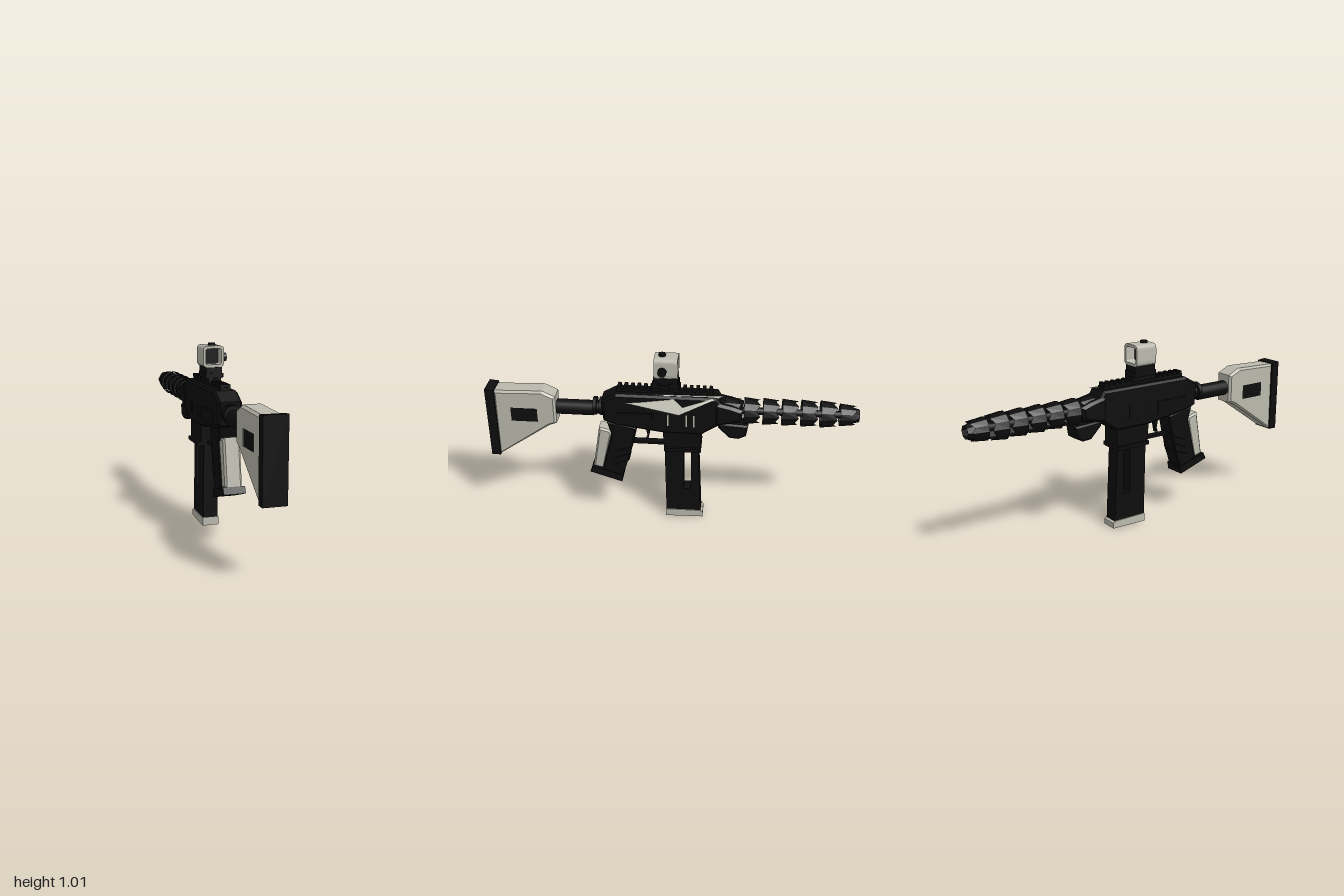
import * as THREE from 'three';

const black = new THREE.MeshStandardMaterial({ color: 0x0d0d0d, side: THREE.DoubleSide });
black.name = 'black';
const grey = new THREE.MeshStandardMaterial({ color: 0xbab9ad, side: THREE.DoubleSide });
grey.name = 'warm grey';

// Mesh with a name, added to a parent
function add(parent, name, geometry, material, x = 0, y = 0, z = 0) {
  const mesh = new THREE.Mesh(geometry, material);
  mesh.name = name;
  mesh.position.set(x, y, z);
  parent.add(mesh);
  return mesh;
}

// Side outline of [z, y] points, extruded across x; optional holes and chamfer
function side(points, half, holes = [], bevel = 0) {
  const toV = ([z, y]) => new THREE.Vector2(-z, y);
  const shape = new THREE.Shape(points.map(toV));
  for (const h of holes) shape.holes.push(new THREE.Path(h.map(toV)));
  const g = new THREE.ExtrudeGeometry(shape, {
    depth: 2 * (half - bevel), bevelEnabled: bevel > 0, bevelSize: bevel,
    bevelThickness: bevel, bevelOffset: -bevel, bevelSegments: 1,
  });
  return g.translate(0, 0, -(half - bevel)).rotateY(Math.PI / 2);
}

const rect = (z0, z1, y0, y1) => [[z0, y0], [z1, y0], [z1, y1], [z0, y1]];
const box = (w, h, d) => new THREE.BoxGeometry(w, h, d);

// Cylinder along z; r0 at the front (-z), r1 at the rear (+z)
const tube = (r0, r1, len, n = 16, open = false) =>
  new THREE.CylinderGeometry(r1, r0, len, n, 1, open).rotateX(Math.PI / 2);

function flat(g) {
  const f = g.toNonIndexed();
  f.computeVertexNormals();
  return f;
}

function roundedRect(Type, hw, hh, r) {
  const p = new Type();
  p.moveTo(-hw + r, -hh);
  p.lineTo(hw - r, -hh).quadraticCurveTo(hw, -hh, hw, -hh + r);
  p.lineTo(hw, hh - r).quadraticCurveTo(hw, hh, hw - r, hh);
  p.lineTo(-hw + r, hh).quadraticCurveTo(-hw, hh, -hw, hh - r);
  p.lineTo(-hw, -hh + r).quadraticCurveTo(-hw, -hh, -hw + r, -hh);
  return p;
}

function buildStock(g) {
  const window = rect(0.71, 0.88, 0.58, 0.685);
  add(g, 'stockBody', side([[0.955, 0.77], [0.69, 0.778], [0.62, 0.745], [0.62, 0.585], [0.66, 0.57], [0.955, 0.37]],
    0.056, [window], 0.012), grey);
  add(g, 'stockWindow', side(window, 0.05), black);
  add(g, 'buttPlate', side([[1, 0.37], [1, 0.78], [0.95, 0.775], [0.95, 0.37]], 0.06), black);
  add(g, 'bufferTube', tube(0.042, 0.042, 0.22), black, 0, 0.665, 0.53);
  add(g, 'bufferNeck', tube(0.035, 0.035, 0.1), black, 0, 0.67, 0.39);
  for (let i = 0; i < 2; i++) add(g, 'bufferRing', tube(0.05, 0.05, 0.02, 12), black, 0, 0.68, 0.41 - i * 0.035);
}

function buildReceiver(g) {
  add(g, 'receiver', side([[0.37, 0.74], [0.29, 0.785], [-0.25, 0.785], [-0.29, 0.72], [-0.26, 0.62], [-0.17, 0.56],
    [0.03, 0.56], [0.29, 0.595], [0.36, 0.62]], 0.064, [], 0.012), black);
  add(g, 'rail', box(0.05, 0.02, 0.52), black, 0, 0.79, 0.03);
  for (let i = 0; i < 15; i++) add(g, 'railTooth', box(0.055, 0.018, 0.018), black, 0, 0.807, 0.275 - i * 0.035);
  // Raised side panels and narrow grey slots
  for (const s of [1, -1]) {
    add(g, 'sidePanel', box(0.008, 0.07, 0.2), black, s * 0.066, 0.645, 0.19);
    for (const z of [0.01, -0.09, -0.13])
      add(g, 'sideSlot', box(0.004, 0.07, 0.008), s > 0 ? grey : black, s * 0.065, 0.645, z);
  }
  add(g, 'magazineWell', side([[0.04, 0.6], [0.03, 0.45], [-0.17, 0.45], [-0.17, 0.6]], 0.056), black);
  add(g, 'magazineWellLip', box(0.145, 0.02, 0.2), black, 0, 0.463, -0.07);
  // Front collar and the block below it
  add(g, 'collar', side([[-0.24, 0.76], [-0.33, 0.74], [-0.39, 0.72], [-0.38, 0.65], [-0.24, 0.62]], 0.072, [], 0.015), black);
  add(g, 'underBlock', side([[-0.25, 0.63], [-0.42, 0.62], [-0.41, 0.555], [-0.37, 0.535], [-0.32, 0.54], [-0.26, 0.6]],
    0.05, [], 0.01), black);
}

function buildMagazine(g) {
  const slot = [[-0.075, 0.45], [-0.115, 0.45], [-0.117, 0.19], [-0.075, 0.19]];
  add(g, 'magazine', side([[0.03, 0.47], [-0.155, 0.47], [-0.175, 0.04], [0.02, 0.04]], 0.04, [slot]), black);
  add(g, 'magazineBase', side([[0.022, 0], [0.022, 0.045], [-0.17, 0.045], [-0.187, 0.035], [-0.187, 0.005]], 0.045), grey);
}

function buildGrip(g) {
  const slots = [0, 1, 2].map((i) => {
    const y = 0.43 - i * 0.044, z = 0.008 * i;
    return [[0.305 + z, y], [0.21 + z, y + 0.035], [0.21 + z, y + 0.023], [0.305 + z, y - 0.012]];
  });
  add(g, 'grip', side([[0.345, 0.61], [0.18, 0.58], [0.205, 0.46], [0.265, 0.26], [0.38, 0.3], [0.322, 0.535]],
    0.052, slots, 0.008), black);
  add(g, 'gripBackstrap', side([[0.39, 0.565], [0.33, 0.55], [0.32, 0.53], [0.37, 0.3], [0.43, 0.315]], 0.045, [], 0.01), grey);
  add(g, 'gripBase', side([[0.447, 0.285], [0.432, 0.32], [0.26, 0.27], [0.268, 0.228]], 0.058), black);
  // Guard and trigger
  add(g, 'triggerGuard', box(0.04, 0.014, 0.18), black, 0, 0.47, 0.115);
  add(g, 'trigger', side([[0.14, 0.58], [0.105, 0.58], [0.115, 0.53], [0.135, 0.49], [0.122, 0.49], [0.1, 0.525]].slice(0, 5), 0.012), black);
}

function buildSight(g) {
  const frame = roundedRect(THREE.Shape, 0.057, 0.057, 0.025);
  frame.holes.push(roundedRect(THREE.Path, 0.042, 0.042, 0.012));
  add(g, 'sightHousing', new THREE.ExtrudeGeometry(frame, { depth: 0.125, bevelEnabled: false, curveSegments: 4 }),
    grey, 0, 0.938, -0.04);
  add(g, 'sightLens', box(0.085, 0.085, 0.008), black, 0, 0.938, 0.02);
  add(g, 'sightTopKnob', new THREE.CylinderGeometry(0.019, 0.019, 0.016, 12), black, 0, 1.0, 0.045);
  add(g, 'sightSideKnob', new THREE.CylinderGeometry(0.023, 0.023, 0.024, 12).rotateZ(Math.PI / 2), black, 0.067, 0.93, 0.04);
  add(g, 'sightMountTop', box(0.085, 0.03, 0.13), black, 0, 0.867, 0.025);
  add(g, 'sightMountMiddle', box(0.09, 0.028, 0.14), black, 0, 0.838, 0.025);
  add(g, 'sightMountBase', box(0.07, 0.025, 0.155), black, 0, 0.813, 0.025);
  add(g, 'sightClamp', box(0.02, 0.02, 0.05), black, 0.052, 0.835, 0.03);
}

// Sleeve with a jagged front rim: every other front corner is drawn back
function sleeve(r0, r1, len) {
  const geo = tube(r0, r1, len, 12, true);
  const p = geo.attributes.position;
  for (let i = 0; i < p.count; i++) {
    const k = Math.round(Math.atan2(p.getY(i), p.getX(i)) / (Math.PI / 6));
    if (p.getZ(i) < 0 && k % 2) p.setZ(i, p.getZ(i) + len * 0.22);
  }
  return flat(geo);
}

function buildBarrel(g) {
  add(g, 'barrelCore', tube(0.02, 0.02, 0.7, 8), black, 0, 0.69, -0.63);
  for (let i = 0; i < 7; i++) {
    const last = i === 6;
    const z = -0.335 - i * 0.101;
    add(g, 'barrelSleeve', sleeve(last ? 0.05 : 0.062, last ? 0.06 : 0.072, 0.086), black, 0, 0.69, z);
    add(g, 'barrelSleeveDisc', tube(0.055, 0.055, 0.02, 12), black, 0, 0.69, z + 0.02);
  }
  add(g, 'muzzle', flat(tube(0.035, 0.045, 0.04, 8, true)), black, 0, 0.69, -0.98);
}

// Pointed side wing with a triangular opening
function buildWing(g) {
  const outer = [[0.03, 0.742, 0.36], [0.15, 0.727, -0.055], [0.035, 0.79, -0.285]];
  const inner = [[0.062, 0.775, -0.02], [0.105, 0.75, -0.07], [0.055, 0.782, -0.225]];
  const crest = [0.045, 0.79, 0.05];
  const pos = [];
  const tri = (...c) => c.forEach((v) => pos.push(...v));
  for (let i = 0; i < 3; i++) {
    const j = (i + 1) % 3;
    tri(outer[i], outer[j], inner[j]);
    tri(outer[i], inner[j], inner[i]);
  }
  tri(outer[0], inner[0], crest);
  tri(crest, inner[0], outer[2]);
  // Underside rising back to the body
  const root = [0.06, 0.74, -0.02];
  tri(outer[0], root, outer[1]);
  const geo = new THREE.BufferGeometry();
  geo.setAttribute('position', new THREE.Float32BufferAttribute(pos, 3));
  geo.computeVertexNormals();
  add(g, 'sideWing', geo, grey);
}

export function createModel() {
  const model = new THREE.Group();
  model.name = 'carbine';
  const parts = {
    stock: buildStock, receiver: buildReceiver, magazine: buildMagazine, pistolGrip: buildGrip,
    sight: buildSight, barrel: buildBarrel, wing: buildWing,
  };
  for (const [name, build] of Object.entries(parts)) {
    const part = new THREE.Group();
    part.name = name;
    part.position.x = -0.04;
    build(part);
    model.add(part);
  }
  return model;
}
